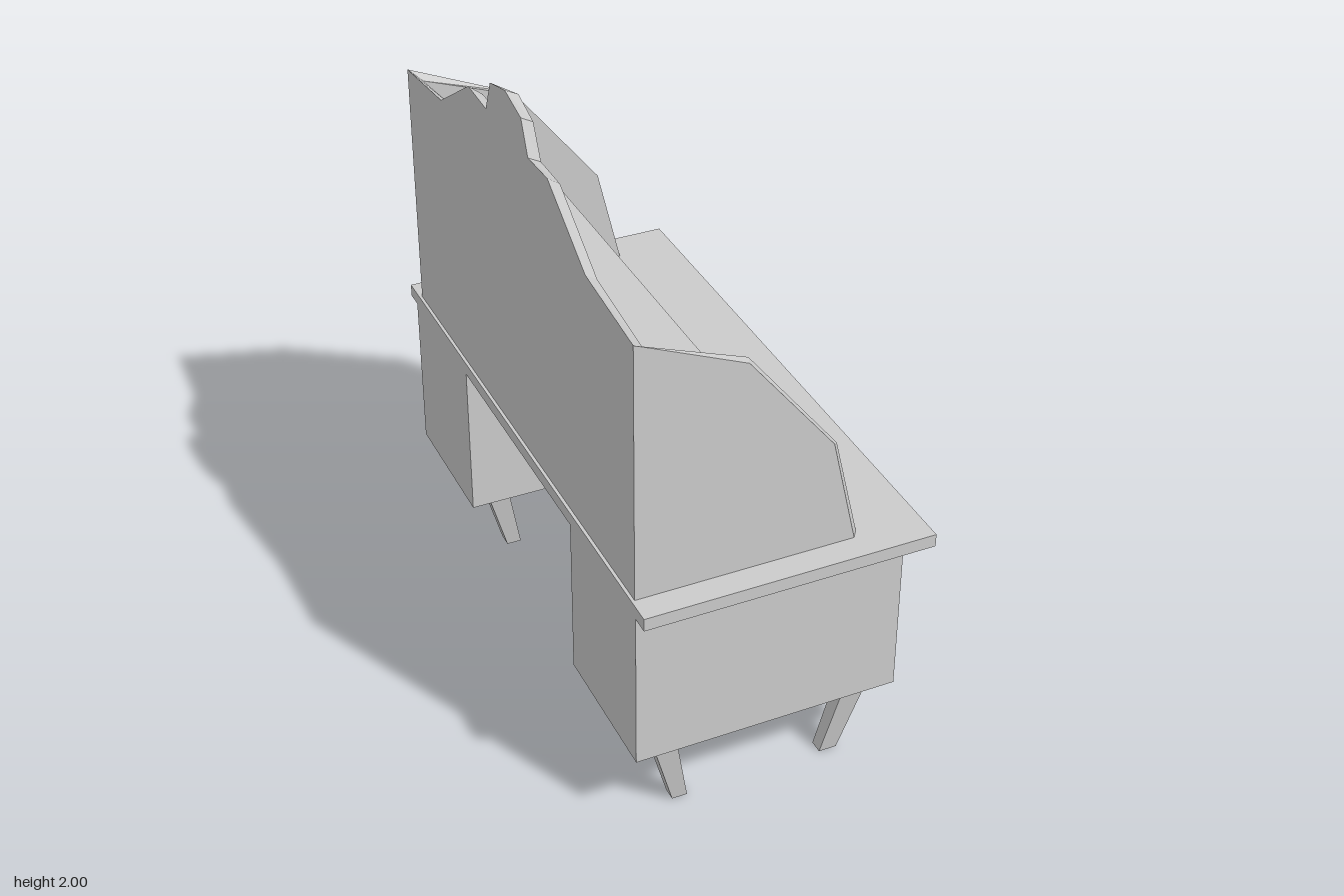
import * as THREE from 'three';

const material = new THREE.MeshStandardMaterial({ color: 0xcccccc, flatShading: true });
const smooth = new THREE.MeshStandardMaterial({ color: 0xcccccc });

// Solid between two matching counter-clockwise outlines, at depths w0 < w1 along z
function loft(a, b, w0, w1) {
  const pos = [];
  const va = a.map(([u, v]) => [u, v, w0]);
  const vb = b.map(([u, v]) => [u, v, w1]);
  const tri = (...p) => p.forEach((q) => pos.push(...q));
  const caps = (pts) => THREE.ShapeUtils.triangulateShape(pts.map(([u, v]) => new THREE.Vector2(u, v)), []);
  caps(a).forEach(([i, j, k]) => tri(va[i], va[k], va[j]));
  caps(b).forEach(([i, j, k]) => tri(vb[i], vb[j], vb[k]));
  for (let i = 0; i < a.length; i++) {
    const j = (i + 1) % a.length;
    tri(va[i], va[j], vb[j]);
    tri(va[i], vb[j], vb[i]);
  }
  const geometry = new THREE.BufferGeometry();
  geometry.setAttribute('position', new THREE.Float32BufferAttribute(pos, 3));
  geometry.computeVertexNormals();
  return geometry;
}

const rect = (u0, u1, v0, v1) => [[u0, v0], [u1, v0], [u1, v1], [u0, v1]];
const toFront = (g) => g.rotateY(Math.PI / 2); // depth axis -> +x, u -> -z
const toUp = (g) => g.rotateX(-Math.PI / 2); // depth axis -> +y, v -> -z

function add(parent, name, geometry, mat = material) {
  const mesh = new THREE.Mesh(geometry, mat);
  mesh.name = name;
  parent.add(mesh);
  return mesh;
}

function addBox(parent, name, x0, x1, y0, y1, z0, z1) {
  const g = new THREE.BoxGeometry(x1 - x0, y1 - y0, z1 - z0);
  return add(parent, name, g.translate((x0 + x1) / 2, (y0 + y1) / 2, (z0 + z1) / 2));
}

// Turned knob pointing along +x
function addKnob(parent, y, z, r) {
  const profile = [[0, 0], [0.5, 0], [0.4, 0.35], [0.45, 0.65], [0.9, 0.85], [1, 1.05], [0.8, 1.3], [0.4, 1.45], [0, 1.5]];
  const g = new THREE.LatheGeometry(profile.map(([x, t]) => new THREE.Vector2(x * r, t * r)), 16);
  add(parent, 'knob', g.rotateZ(-Math.PI / 2).translate(0.395, y, z), smooth);
}

// Drawer or door front with a raised border and a bevelled panel
function addFront(parent, name, side, y0, y1, knobZ, knobY, r) {
  const c = -side * 0.67, h = 0.19;
  const outline = (inset) => rect(c - h + inset, c + h - inset, y0 + inset, y1 - inset);
  add(parent, name, toFront(loft(outline(0), outline(0.004), 0.37, 0.391)));
  add(parent, name + 'Panel', toFront(loft(outline(0.01), outline(0.014), 0.39, 0.398)));
  addKnob(parent, knobY, knobZ, r);
}

// Pedestal with four tapered, inward-leaning legs
function addCabinet(parent, name, side) {
  const cabinet = new THREE.Group();
  cabinet.name = name;
  parent.add(cabinet);
  const zs = [side * 0.432, side * 0.9].sort((p, q) => p - q);
  addBox(cabinet, 'cabinetBody', -0.46, 0.385, 0.265, 0.8, zs[0], zs[1]);

  const legX = [[-0.39, -0.316, -0.312, -0.263], [0.236, 0.314, 0.183, 0.241]];
  const legZ = [[0.488, 0.546, 0.525, 0.572], [0.812, 0.865, 0.785, 0.828]];
  for (const [x0, x1, bx0, bx1] of legX) {
    for (const [z0, z1, bz0, bz1] of legZ) {
      const range = (p, q) => (side > 0 ? [-q, -p] : [p, q]);
      const bottom = rect(bx0, bx1, ...range(bz0, bz1));
      const top = rect(x0, x1, ...range(z0, z1));
      add(cabinet, 'leg', toUp(loft(bottom, top, 0, 0.266)));
    }
  }
  return cabinet;
}

export function createModel() {
  const desk = new THREE.Group();
  desk.name = 'writingDesk';

  addBox(desk, 'deskTop', -0.46, 0.456, 0.798, 0.84, -0.957, 0.957);

  // Cabinet with a drawer above a door
  const left = addCabinet(desk, 'doorCabinet', 1);
  addFront(left, 'drawerFront', 1, 0.626, 0.75, 0.675, 0.69, 0.027);
  addFront(left, 'doorFront', 1, 0.27, 0.615, 0.553, 0.44, 0.018);

  // Cabinet with three drawers
  const right = addCabinet(desk, 'drawerCabinet', -1);
  for (const [y0, y1, knobY] of [[0.626, 0.75, 0.69], [0.457, 0.612, 0.533], [0.27, 0.446, 0.358]]) {
    addFront(right, 'drawerFront', -1, y0, y1, -0.67, knobY, 0.027);
  }

  // Stepped back panel, bevelled towards its front face
  const mirrored = (half) => [...half, ...half.slice(0, -1).reverse().map(([u, v]) => [-u, v])];
  const backOutline = mirrored([[0.872, 0.84], [0.872, 1.675], [0.56, 1.712], [0.303, 1.875], [0.162, 1.868], [0.118, 1.97], [0, 2]]);
  const frontOutline = mirrored([[0.843, 0.84], [0.843, 1.64], [0.545, 1.682], [0.295, 1.845], [0.158, 1.845], [0.108, 1.945], [0, 1.98]]);
  add(desk, 'backPanel', toFront(loft(backOutline, frontOutline, -0.45, -0.41)));

  // Side panels, mitred to the back and bevelled along the sloping edge
  const inner = [[-0.41, 0.84], [0.256, 0.84], [0.178, 1.17], [-0.105, 1.53], [-0.41, 1.64]];
  const outer = [[-0.45, 0.84], [0.235, 0.84], [0.155, 1.19], [-0.115, 1.53], [-0.45, 1.675]];
  add(desk, 'leftSidePanel', loft(inner, outer, 0.843, 0.872));
  add(desk, 'rightSidePanel', loft(outer, inner, -0.872, -0.843));

  // Trapezoid shelf on a tapering divider
  const shelf = [[-0.415, -0.843], [-0.08, -0.592], [-0.08, 0.592], [-0.415, 0.843]];
  add(desk, 'shelf', toUp(loft(shelf, shelf, 1.314, 1.336)));
  const divider = [[-0.415, -0.032], [-0.085, -0.018], [-0.085, 0.018], [-0.415, 0.032]];
  add(desk, 'shelfDivider', toUp(loft(divider, divider, 0.84, 1.315)));

  return desk;
}
